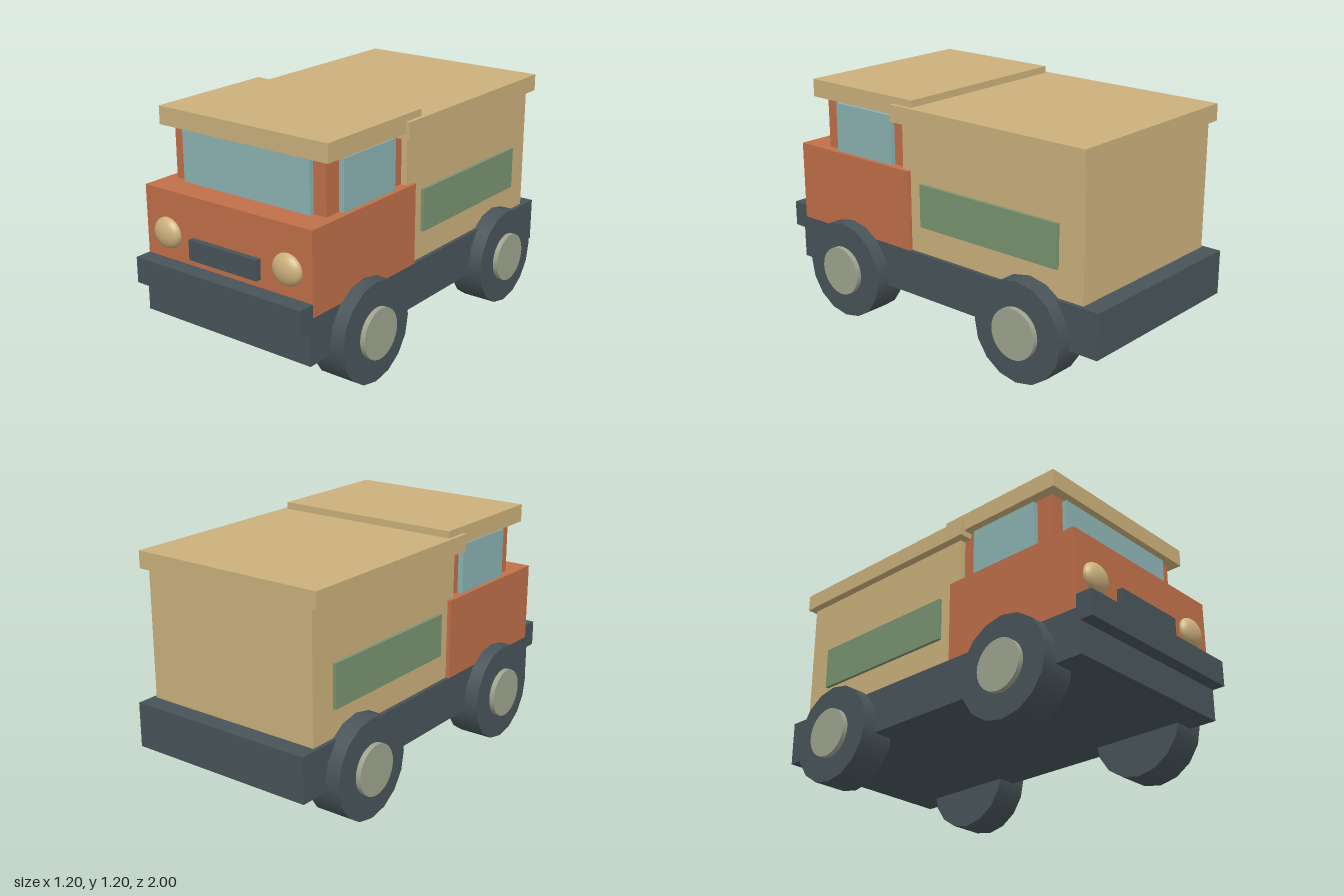
import * as THREE from 'three';

const mat = (name, color) => new THREE.MeshStandardMaterial({ name, color });

export function createModel() {
  const tan = mat('tan', 0xcbb07b);
  const orange = mat('orange', 0xc06f49);
  const dark = mat('dark slate', 0x485459);
  const glass = mat('glass teal', 0x8cb2b2);
  const green = mat('panel green', 0x799471);
  const grey = mat('hub grey', 0x9fa48e);

  const model = new THREE.Group();
  model.name = 'boxTruck';

  const add = (name, geometry, material, x, y, z) => {
    const mesh = new THREE.Mesh(geometry, material);
    mesh.name = name;
    mesh.position.set(x, y, z);
    model.add(mesh);
    return mesh;
  };
  // Box given by its limits on each axis
  const box = (name, material, [x0, x1], [y0, y1], [z0, z1]) =>
    add(name, new THREE.BoxGeometry(x1 - x0, y1 - y0, z1 - z0), material,
      (x0 + x1) / 2, (y0 + y1) / 2, (z0 + z1) / 2);

  // Chassis and bumper
  box('chassis', dark, [-0.5, 0.5], [0.21, 0.435], [-1, 0.935]);
  box('bumper', dark, [-0.5, 0.5], [0.37, 0.5], [0.915, 1]);

  // Cab
  box('cabBody', orange, [-0.5, 0.5], [0.435, 0.84], [0.145, 0.915]);
  box('cabTop', orange, [-0.45, 0.45], [0.84, 1.105], [0.18, 0.755]);
  box('cabRoof', tan, [-0.5, 0.5], [1.105, 1.195], [0.11, 0.805]);
  box('windshield', glass, [-0.38, 0.38], [0.84, 1.095], [0.74, 0.78]);
  box('grille', dark, [-0.205, 0.205], [0.54, 0.64], [0.9, 0.945]);

  // Cargo box
  box('cargoBox', tan, [-0.48, 0.48], [0.435, 1.08], [-0.905, 0.195]);
  box('cargoRoof', tan, [-0.52, 0.52], [1.075, 1.16], [-0.925, 0.235]);

  // Mirrored parts
  const tyre = new THREE.CylinderGeometry(0.25, 0.25, 0.18, 16).rotateZ(Math.PI / 2);
  const hub = new THREE.CylinderGeometry(0.125, 0.125, 0.06, 32).rotateZ(Math.PI / 2);
  const lamp = new THREE.SphereGeometry(0.082, 32, 20).scale(1, 0.93, 0.55);
  for (const [side, s] of [['left', 1], ['right', -1]]) {
    const span = (a, b) => (s > 0 ? [a, b] : [-b, -a]);
    box(side + 'Window', glass, span(0.44, 0.478), [0.84, 1.09], [0.28, 0.665]);
    box(side + 'CargoPanel', green, span(0.47, 0.497), [0.575, 0.79], [-0.765, 0.07]);
    add(side + 'Headlight', lamp, tan, s * 0.363, 0.63, 0.915);
    for (const [end, z] of [['Front', 0.55], ['Rear', -0.6]]) {
      add(side + end + 'Tyre', tyre, dark, s * 0.484, 0.25, z);
      add(side + end + 'Hub', hub, grey, s * 0.57, 0.25, z);
    }
  }
  return model;
}
